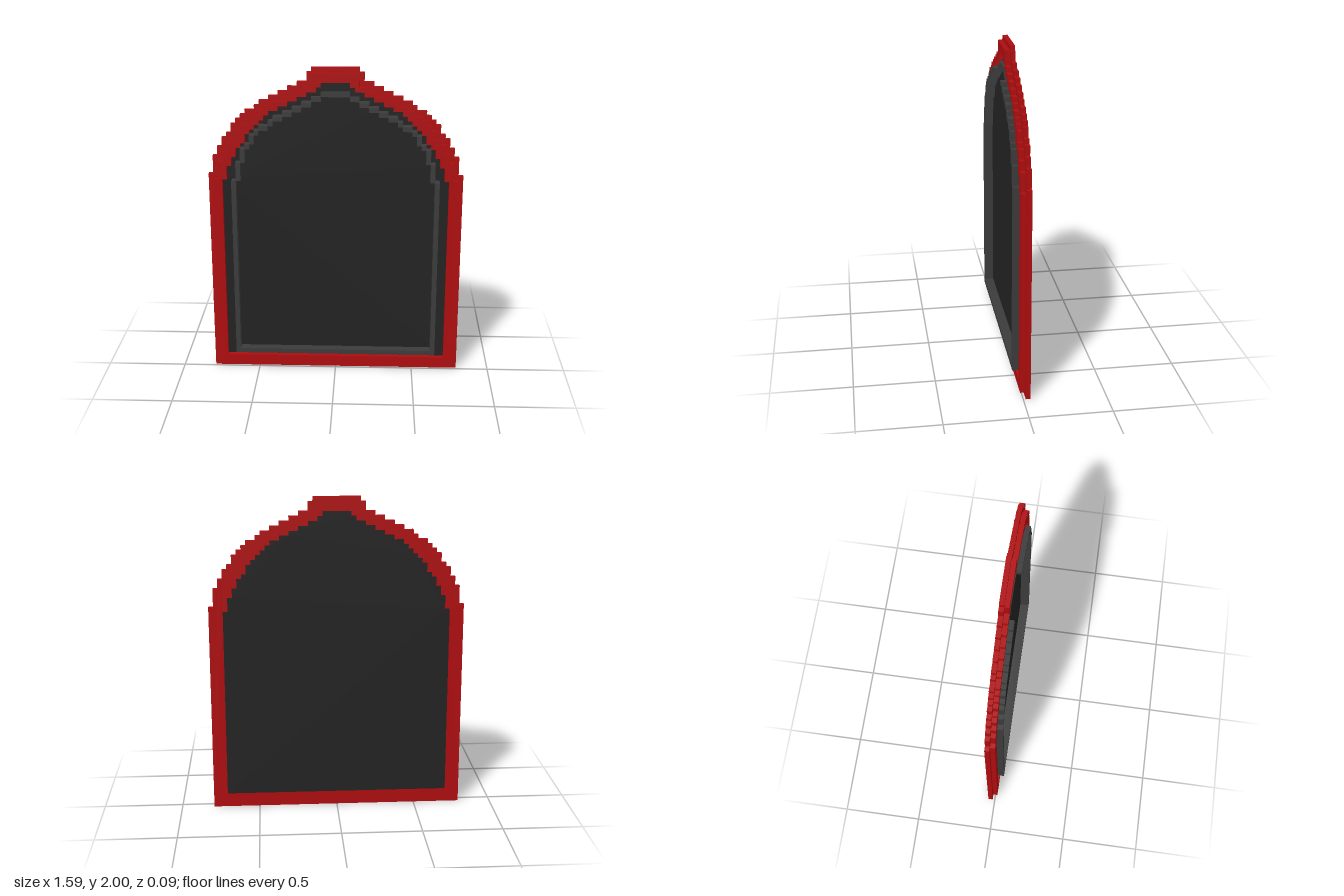
import * as THREE from 'three';

const U = 2 / 68; // size of one block

// Stepped arches: [half width, height reached at that width], in blocks
const OUTER = [[27, 45], [26, 49], [25, 51], [24, 53], [23, 54], [22, 56], [21, 57], [20, 58], [19, 59],
  [17, 60], [16, 61], [14, 62], [12, 63], [10, 64], [8, 65], [6, 67], [5, 68]];
const INNER = [[24, 44], [23, 47], [22, 49], [21, 51], [20, 52], [19, 54], [18, 55], [17, 56], [16, 57],
  [15, 58], [14, 59], [12, 60], [10, 61], [8, 62], [6, 63], [4, 64], [3, 65]];
// Trim steps: [inner x, outer x, bottom, top], in blocks
const TRIM = [[21, 22, 4, 44], [20, 21, 44, 48], [19, 20, 48, 51], [18, 19, 51, 52], [17, 18, 52, 54],
  [16, 17, 54, 55], [14, 16, 55, 56], [13, 14, 56, 57], [11, 13, 57, 58], [9, 11, 58, 59],
  [7, 9, 59, 60], [5, 7, 60, 61], [3, 5, 61, 62]];

// Closed staircase outline, mirrored about x = 0
function archPoints(steps, bottom) {
  const right = [];
  let y = bottom;
  for (const [w, top] of steps) {
    right.push(new THREE.Vector2(w * U, y * U), new THREE.Vector2(w * U, top * U));
    y = top;
  }
  const left = right.map((p) => new THREE.Vector2(-p.x, p.y)).reverse();
  return [...right, ...left];
}

// One block thick slab in the given layer (0 = back, 1 = middle, 2 = front)
function slab(name, shape, layer, material) {
  const geometry = new THREE.ExtrudeGeometry(shape, { depth: U, bevelEnabled: false });
  const mesh = new THREE.Mesh(geometry, material);
  mesh.name = name;
  mesh.position.z = (layer - 1.5) * U;
  return mesh;
}

function frameShape(steps, bottom) {
  const shape = new THREE.Shape(archPoints(steps, bottom));
  shape.holes.push(new THREE.Path(archPoints(INNER, 3)));
  return shape;
}

export function createModel() {
  const red = new THREE.MeshStandardMaterial({ color: 0xae0c0e });
  red.name = 'frame red';
  const black = new THREE.MeshStandardMaterial({ color: 0x222222 });
  black.name = 'panel black';
  const grey = new THREE.MeshStandardMaterial({ color: 0x3b3b3b });
  grey.name = 'trim grey';

  const model = new THREE.Group();
  model.name = 'archedPanel';

  // Two-tier frame; the middle tier is one block smaller all round
  const smaller = OUTER.map(([w, top]) => [w - (w > 5 ? 1 : 0), top - 1]);
  model.add(slab('backFrame', frameShape(OUTER, 0), 0, red));
  model.add(slab('middleFrame', frameShape(smaller, 1), 1, red));

  // Recessed panel, flush with the back
  model.add(slab('panel', new THREE.Shape(archPoints(INNER, 3)), 0, black));

  // Raised trim; the crown stands lower than the rest
  const trim = new THREE.Group();
  trim.name = 'trim';
  const addBox = (name, x0, x1, y0, y1, depth) => {
    const box = new THREE.Mesh(new THREE.BoxGeometry((x1 - x0) * U, (y1 - y0) * U, depth * U), grey);
    box.name = name;
    box.position.set((x0 + x1) / 2 * U, (y0 + y1) / 2 * U, (depth - 1) / 2 * U);
    box.position.z = (-0.5 + depth / 2) * U;
    trim.add(box);
  };
  for (const [x0, x1, y0, y1] of TRIM) {
    const depth = y0 >= 61 ? 1 : 2;
    addBox('leftTrimStep', x0, x1, y0, y1, depth);
    addBox('rightTrimStep', -x1, -x0, y0, y1, depth);
  }
  addBox('trimCrown', -3, 3, 62, 63, 1);
  addBox('trimBase', -21, 21, 4, 5, 2);
  model.add(trim);

  return model;
}
